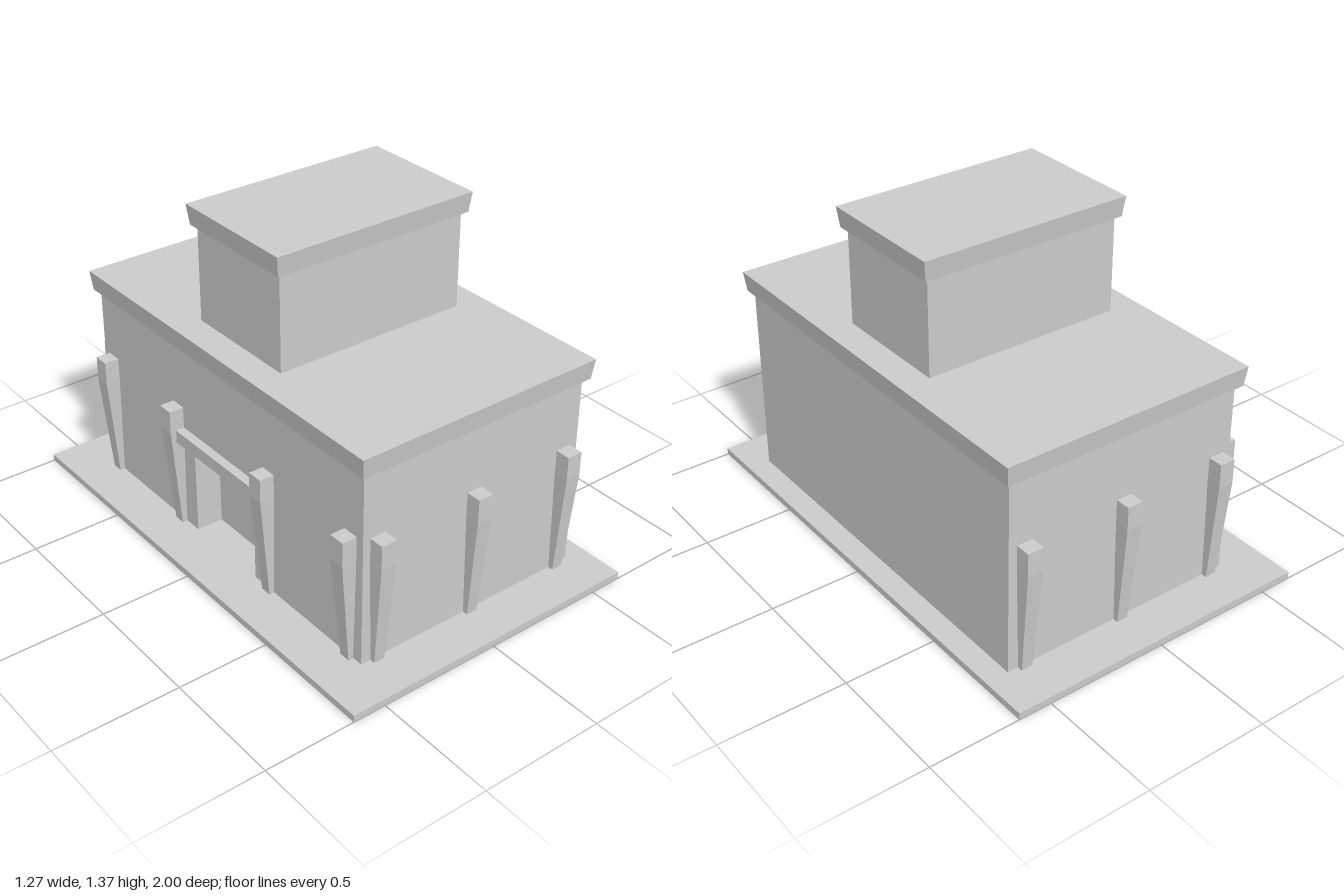
import * as THREE from 'three';

const CX = 0.044;        // the building sits off-centre on its slab
const FLOOR = 0.028, EAVE = 0.82, DOOR_TOP = 0.42;
const HALF_X = 0.498, HALF_Z = 0.815;

export function createModel() {
  const model = new THREE.Group();
  const material = new THREE.MeshStandardMaterial({ color: 0xcccccc, flatShading: true });

  function add(name, geometry, parent = model) {
    const mesh = new THREE.Mesh(geometry, material);
    mesh.name = name;
    parent.add(mesh);
    return mesh;
  }

  // Box given by its lower and upper bounds
  function block(name, x0, x1, y0, y1, z0, z1) {
    const mesh = add(name, new THREE.BoxGeometry(x1 - x0, y1 - y0, z1 - z0));
    mesh.position.set((x0 + x1) / 2, (y0 + y1) / 2, (z0 + z1) / 2);
    return mesh;
  }

  // Roof slab whose sides lean outward towards the top
  function cornice(name, halfX, halfZ, y0, y1) {
    const geometry = new THREE.BoxGeometry(2 * halfX, y1 - y0, 2 * halfZ);
    const p = geometry.attributes.position;
    for (let i = 0; i < p.count; i++) {
      if (p.getY(i) > 0) continue;
      p.setX(i, p.getX(i) - Math.sign(p.getX(i)) * 0.009);
      p.setZ(i, p.getZ(i) - Math.sign(p.getZ(i)) * 0.009);
    }
    geometry.computeVertexNormals();
    add(name, geometry).position.set(CX, (y0 + y1) / 2, 0);
  }

  // Ground slab
  block('baseSlab', -0.635, 0.635, 0, FLOOR, -1, 1);

  // Lower walls, with a doorway recess cut into the -x side
  const x0 = CX - HALF_X, x1 = CX + HALF_X, doorHalf = 0.19, recess = 0.11;
  const plan = new THREE.Shape([
    [x0, -HALF_Z], [x1, -HALF_Z], [x1, HALF_Z], [x0, HALF_Z],
    [x0, doorHalf], [x0 + recess, doorHalf], [x0 + recess, -doorHalf], [x0, -doorHalf],
  ].map(([x, z]) => new THREE.Vector2(x, z)));
  const walls = new THREE.ExtrudeGeometry(plan, { depth: DOOR_TOP - FLOOR, bevelEnabled: false });
  walls.rotateX(-Math.PI / 2);
  add('lowerWalls', walls).position.y = FLOOR;
  block('upperWalls', x0, x1, DOOR_TOP, EAVE, -HALF_Z, HALF_Z);

  // Roofs and tower
  cornice('mainRoof', 0.527, 0.845, EAVE, 0.9);
  block('tower', CX - 0.408, CX + 0.408, 0.9, 1.285, -0.245, 0.245);
  cornice('towerRoof', 0.436, 0.272, 1.285, 1.365);

  // Buttress: straight head, shaft tapering to the foot; its back is at z = 0
  const head = 0.455, top = 0.552;
  const pillar = new THREE.BoxGeometry(0.065, top - FLOOR, 0.06, 1, 2, 1);
  pillar.translate(0, (top + FLOOR) / 2, 0.03);
  const p = pillar.attributes.position;
  for (let i = 0; i < p.count; i++) {
    const y = p.getY(i);
    if (y < FLOOR + 0.01) {
      p.setX(i, p.getX(i) * 0.7);
      p.setZ(i, p.getZ(i) * 0.35);
    } else if (y < top - 0.01) p.setY(i, head);
  }
  pillar.computeVertexNormals();

  const buttresses = new THREE.Group();
  buttresses.name = 'buttresses';
  model.add(buttresses);

  // Three on the front and three on the back
  for (const side of [1, -1]) {
    for (const x of [-0.39, 0.043, 0.475]) {
      const mesh = add(side > 0 ? 'frontButtress' : 'backButtress', pillar, buttresses);
      mesh.position.set(x, 0, side * HALF_Z);
      mesh.rotation.y = side > 0 ? 0 : Math.PI;
    }
  }

  // Four on the door side
  for (const z of [-0.752, -0.29, 0.284, 0.748]) {
    const mesh = add('doorSideButtress', pillar, buttresses);
    mesh.position.set(x0, 0, z);
    mesh.rotation.y = -Math.PI / 2;
  }

  // Beam over the doorway, between the two middle buttresses
  block('doorLintel', -0.49, x0, 0.41, 0.463, -0.28, 0.275);

  return model;
}
